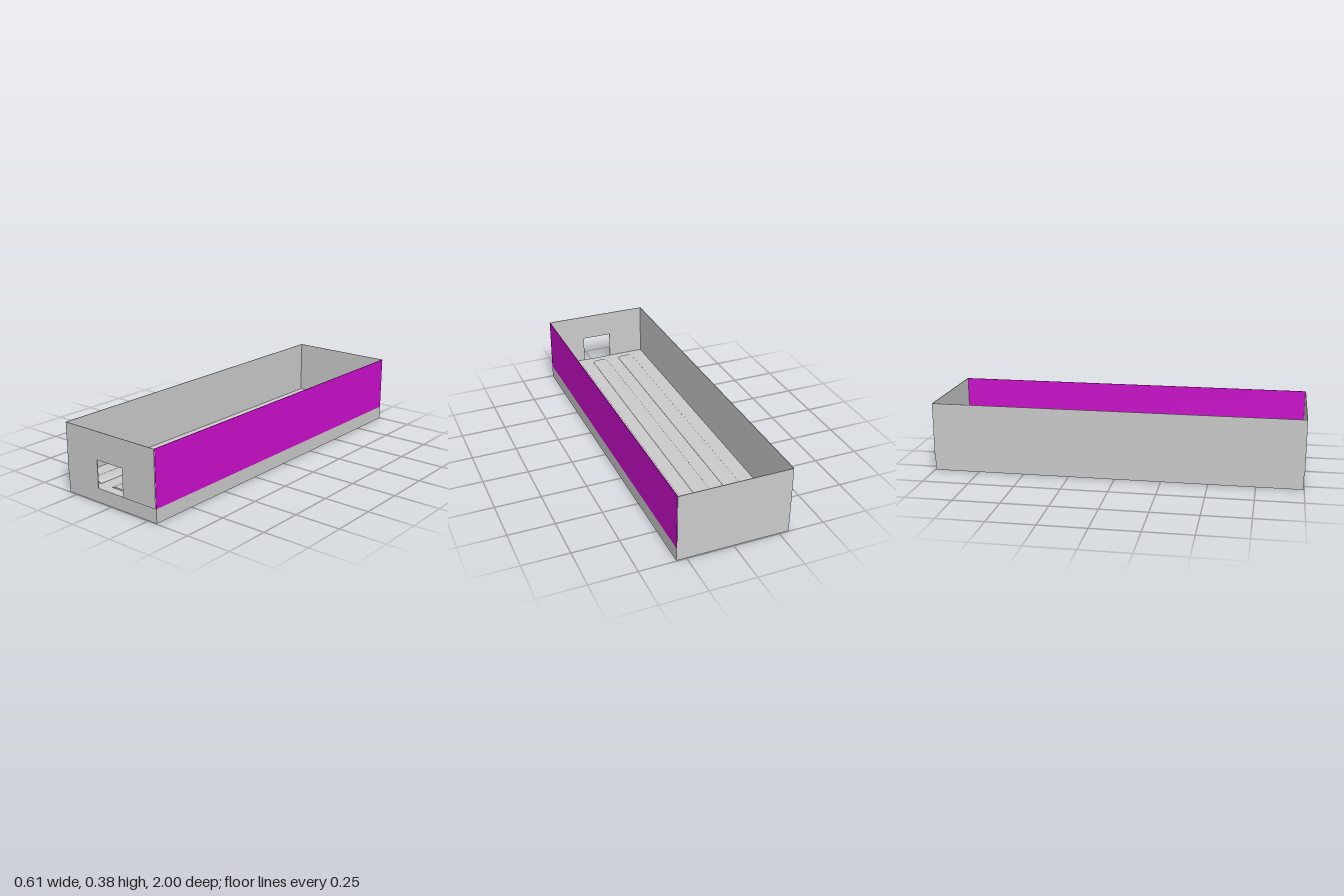
import * as THREE from 'three';

const BASE_H = 0.075, TOP = 0.376, HALF_W = 0.304, T = 0.004, INNER_Z = 0.996;

export function createModel() {
  const group = new THREE.Group();
  const grey = new THREE.MeshStandardMaterial({ color: 0xcccccc });
  const purple = new THREE.MeshStandardMaterial({ color: 0xcc0ecc });

  const add = (name, geometry, material, x, y, z) => {
    const mesh = new THREE.Mesh(geometry, material);
    mesh.name = name;
    mesh.position.set(x, y, z);
    group.add(mesh);
    return mesh;
  };

  // Solid base slab
  add('base', new THREE.BoxGeometry(HALF_W * 2, BASE_H, INNER_Z * 2), grey, 0, BASE_H / 2, 0);

  // Thin long walls: the left one is coloured
  const wallH = TOP - BASE_H, wallY = BASE_H + wallH / 2;
  const sideWall = new THREE.BoxGeometry(T, wallH, INNER_Z * 2);
  add('leftWall', sideWall, purple, HALF_W - T / 2, wallY, 0);
  add('rightWall', sideWall, grey, -HALF_W + T / 2, wallY, 0);

  // End walls, slightly proud of the base
  const endHalf = HALF_W - T / 2;
  add('backWall', new THREE.BoxGeometry(endHalf * 2, wallH, T), grey, 0, wallY, -INNER_Z - T / 2);

  // Front wall outline runs around a doorway open at floor level
  const door = 0.0865, doorTop = 0.227;
  const outline = [
    [-endHalf, BASE_H], [-door, BASE_H], [-door, doorTop], [door, doorTop],
    [door, BASE_H], [endHalf, BASE_H], [endHalf, TOP], [-endHalf, TOP],
  ];
  const frontShape = new THREE.Shape(outline.map(([x, y]) => new THREE.Vector2(x, y)));
  add('frontWall', new THREE.ExtrudeGeometry(frontShape, { depth: T, bevelEnabled: false }),
    grey, 0, 0, INNER_Z);

  // Three long, flattened half-round ridges on the floor
  const ridge = new THREE.CylinderGeometry(1, 1, 1.89, 32, 1, false, Math.PI / 2, Math.PI);
  ridge.rotateX(Math.PI / 2).scale(0.046, 0.008, 1);
  for (const x of [-0.17, 0, 0.17]) add('floorRidge', ridge, grey, x, BASE_H, 0);

  return group;
}
